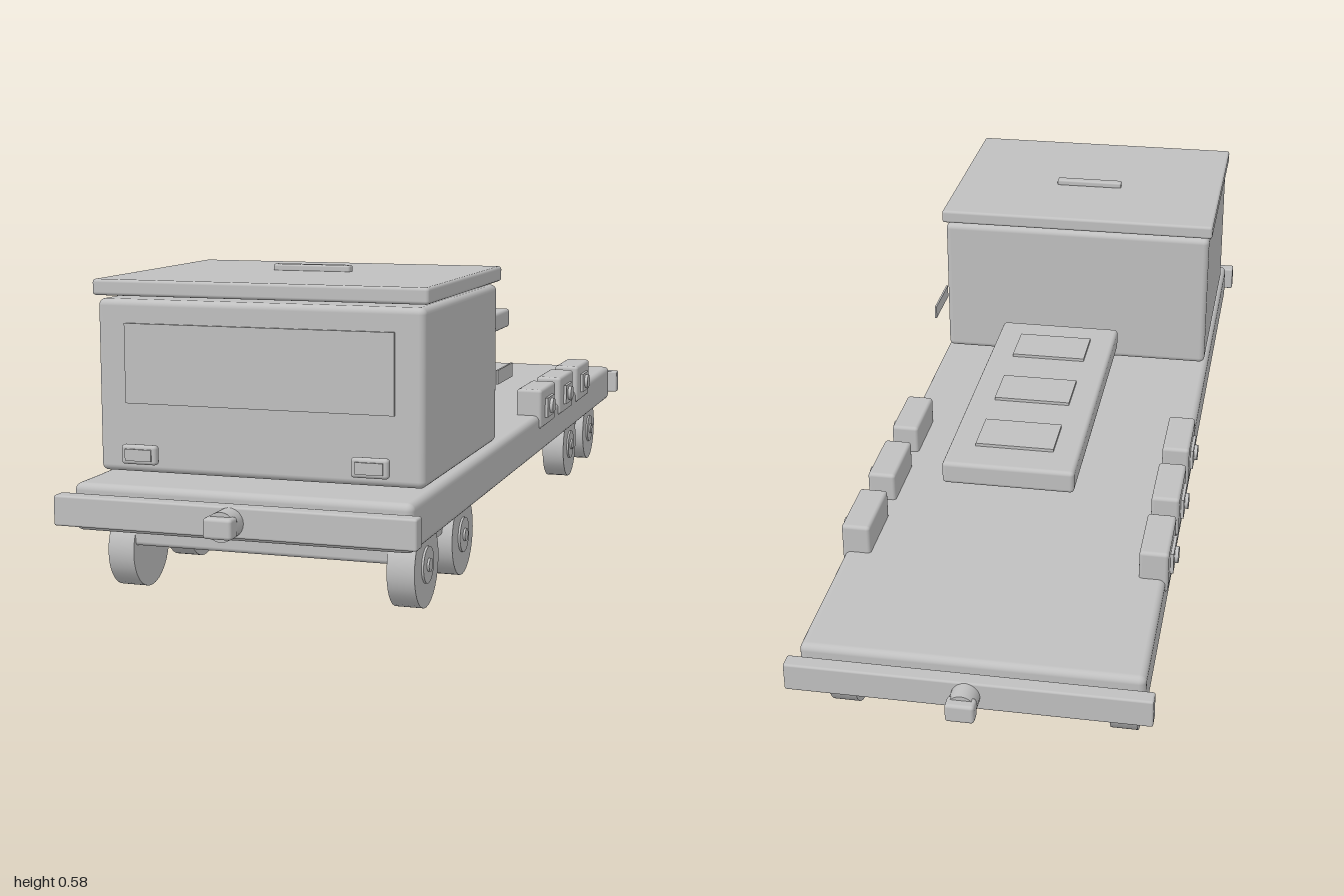
import * as THREE from 'three';
import { RoundedBoxGeometry } from 'three/addons/geometries/RoundedBoxGeometry.js';

const grey = new THREE.MeshStandardMaterial({ color: 0xc0c0c0 });
grey.name = 'grey';

export function createModel() {
  const model = new THREE.Group();
  model.name = 'flatbedRailCar';

  const add = (name, geometry, x, y, z) => {
    const mesh = new THREE.Mesh(geometry, grey);
    mesh.name = name;
    mesh.position.set(x, y, z);
    model.add(mesh);
    return mesh;
  };

  // Box given by its [min, max] on each axis; r > 0 rounds the edges
  const box = (name, [x0, x1], [y0, y1], [z0, z1], r = 0) => {
    const size = [x1 - x0, y1 - y0, z1 - z0];
    const geometry = r ? new RoundedBoxGeometry(...size, 3, r) : new THREE.BoxGeometry(...size);
    return add(name, geometry, (x0 + x1) / 2, (y0 + y1) / 2, (z0 + z1) / 2);
  };

  // Disc lying across the car, from x0 to x1
  const disc = (name, r, x0, x1, y, z) => {
    const geometry = new THREE.CylinderGeometry(r, r, Math.abs(x1 - x0), 32).rotateZ(Math.PI / 2);
    return add(name, geometry, (x0 + x1) / 2, y, z);
  };

  // Span along an axis, flipped for the negative side
  const span = (s, a, b) => (s > 0 ? [a, b] : [-b, -a]);

  // Deck
  box('deck', [-0.311, 0.311], [0.132, 0.217], [-0.905, 0.905], 0.013);

  // Cab with roof, roof grip and windscreen
  box('cab', [-0.304, 0.304], [0.223, 0.533], [0.31, 0.812], 0.012);
  box('roof', [-0.311, 0.311], [0.539, 0.568], [0.303, 0.817], 0.006);
  box('roofGrip', [-0.076, 0.076], [0.566, 0.58], [0.513, 0.534], 0.004);
  box('windscreen', [-0.25, 0.25], [0.348, 0.491], [0.809, 0.817]);

  // Lever beside the cab, on one side only
  box('sideLever', [0.309, 0.313], [0.339, 0.367], [0.213, 0.335]);

  // Raised slab with three hatches
  box('slab', [-0.127, 0.127], [0.355, 0.4], [-0.54, 0.096], 0.008);
  for (const z of [-0.024, -0.224, -0.416]) {
    box('hatch', [-0.076, 0.076], [0.398, 0.406], [z - 0.05, z + 0.05]);
  }

  // Bumper and coupler at each end, with a bogie frame beneath
  for (const s of [1, -1]) {
    box('bumper', [-0.329, 0.329], [0.148, 0.202], span(s, 0.915, 0.946), 0.004);
    const shank = new THREE.CylinderGeometry(0.026, 0.026, 0.04, 24).rotateX(Math.PI / 2);
    add('couplerShank', shank, 0, 0.175, s * 0.963);
    box('couplerHead', [-0.026, 0.026], [0.157, 0.193], span(s, 0.97, 1), 0.006);
    box('bogieFrame', [-0.268, 0.268], [0.088, 0.142], span(s, 0.438, 0.812), 0.008);
  }

  // Parts mirrored left and right
  for (const s of [1, -1]) {
    // Headlights
    box('headlight', span(s, 0.18, 0.248), [0.243, 0.278], [0.828, 0.844], 0.006);
    box('headlightLens', span(s, 0.189, 0.239), [0.25, 0.271], [0.84, 0.847]);

    // Wheels with cap and hub
    for (const z of [0.746, 0.503, -0.503, -0.746]) {
      disc('wheel', 0.0755, s * 0.238, s * 0.288, 0.0755, z);
      disc('wheelCap', 0.033, s * 0.286, s * 0.292, 0.0765, z);
      disc('wheelHub', 0.012, s * 0.29, s * 0.296, 0.0765, z);
    }

    // Side boxes with plate and knob
    for (const z of [-0.123, -0.323, -0.523]) {
      box('sideBox', span(s, 0.26, 0.316), [0.188, 0.274], [z - 0.072, z + 0.072], 0.007);
      box('sideBoxPlate', span(s, 0.314, 0.322), [0.208, 0.251], [z - 0.034, z + 0.034]);
      disc('sideBoxKnob', 0.016, s * 0.32, s * 0.329, 0.23, z);
    }
  }

  return model;
}
